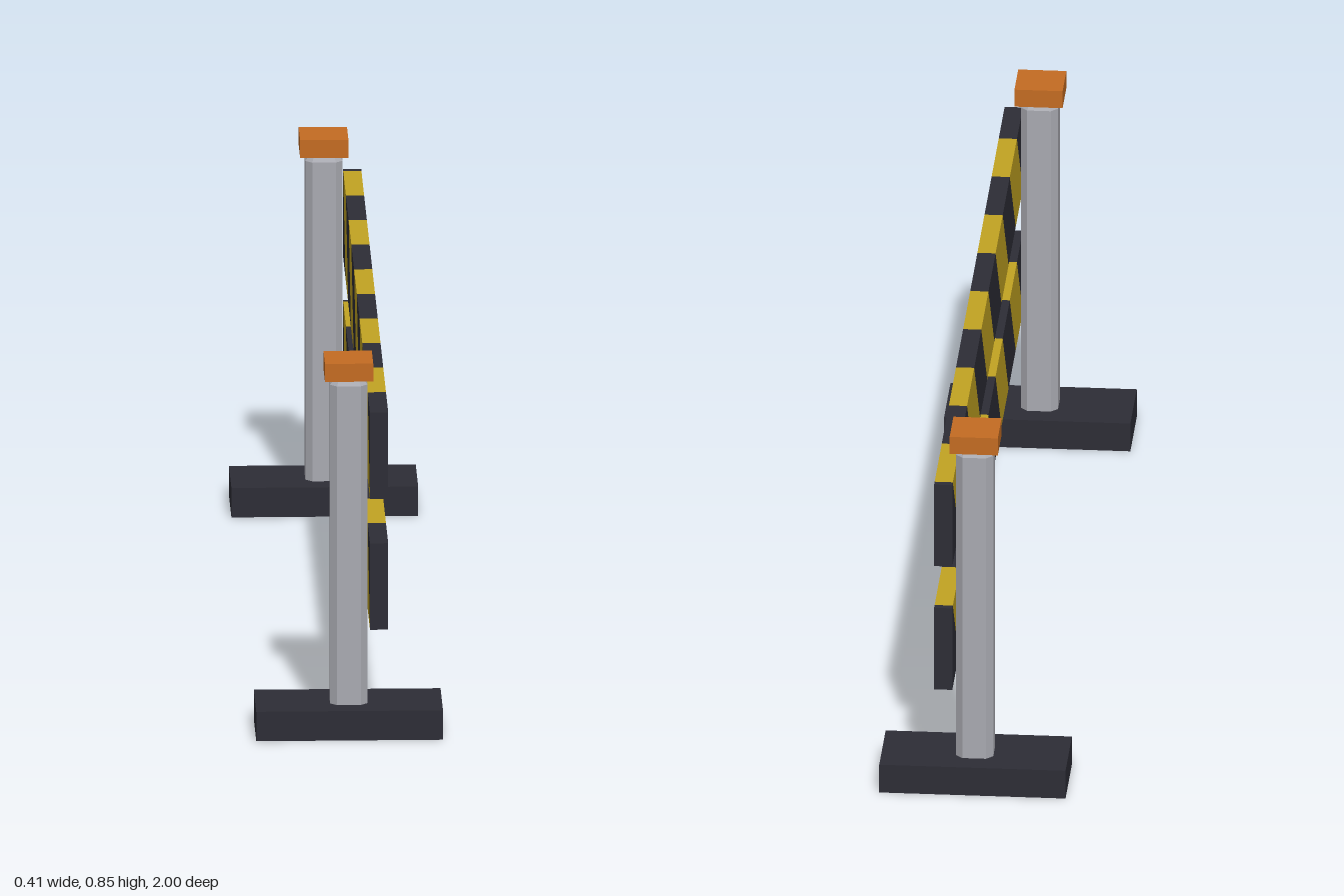
import * as THREE from 'three';

const mat = (name, color) => {
  const m = new THREE.MeshStandardMaterial({ color });
  m.name = name;
  return m;
};

export function createModel() {
  const dark = mat('charcoal', 0x2d2d36);
  const yellow = mat('warning yellow', 0xc2a322);
  const orange = mat('orange', 0xc46c22);
  const grey = mat('post grey', 0xa9aab1);

  const model = new THREE.Group();
  model.name = 'barrier';
  const add = (parent, name, geometry, material, x, y, z) => {
    const mesh = new THREE.Mesh(geometry, material);
    mesh.name = name;
    mesh.position.set(x, y, z);
    parent.add(mesh);
  };

  // Post: square with cut corners and a bevelled top
  const a = 0.041, b = 0.026, bevel = 0.011;
  const section = new THREE.Shape([
    [a, -b], [a, b], [b, a], [-b, a], [-a, b], [-a, -b], [-b, -a], [b, -a],
  ].map(([x, y]) => new THREE.Vector2(x, y)));
  const postGeometry = new THREE.ExtrudeGeometry(section, {
    depth: 0.763, bevelEnabled: true, bevelSegments: 1,
    bevelSize: bevel, bevelOffset: -bevel, bevelThickness: 0.015,
  }).rotateX(-Math.PI / 2);

  // Two supports: foot, post and cap
  for (const side of [-1, 1]) {
    const support = new THREE.Group();
    support.name = side > 0 ? 'frontSupport' : 'backSupport';
    support.position.z = side * 0.91;
    add(support, 'foot', new THREE.BoxGeometry(0.41, 0.067, 0.18), dark, 0, 0.0335, 0);
    add(support, 'post', postGeometry, grey, 0, 0.03, 0);
    add(support, 'cap', new THREE.BoxGeometry(0.106, 0.041, 0.106), orange, 0, 0.8275, 0);
    model.add(support);
  }

  // Boards: slanted blocks in alternating colours, clipped at the ends
  const half = 0.99, height = 0.197, step = 0.2, slant = 0.165;
  const clip = (u) => THREE.MathUtils.clamp(u, -half, half);
  for (const [name, y] of [['lowerBoard', 0.249], ['upperBoard', 0.547]]) {
    const board = new THREE.Group();
    board.name = name;
    for (let i = -1; i < 10; i++) {
      const u = -half + i * step;
      const points = [new THREE.Vector2(clip(u), 0)];
      if (i >= 0) points.push(new THREE.Vector2(clip(u + step), 0));
      points.push(
        new THREE.Vector2(clip(u + step + slant), height),
        new THREE.Vector2(clip(u + slant), height),
      );
      const geometry = new THREE.ExtrudeGeometry(new THREE.Shape(points), { depth: 0.04, bevelEnabled: false });
      geometry.rotateY(Math.PI / 2);
      add(board, 'stripe', geometry, i % 2 === 0 ? yellow : dark, 0.045, y, 0);
    }
    model.add(board);
  }
  return model;
}
